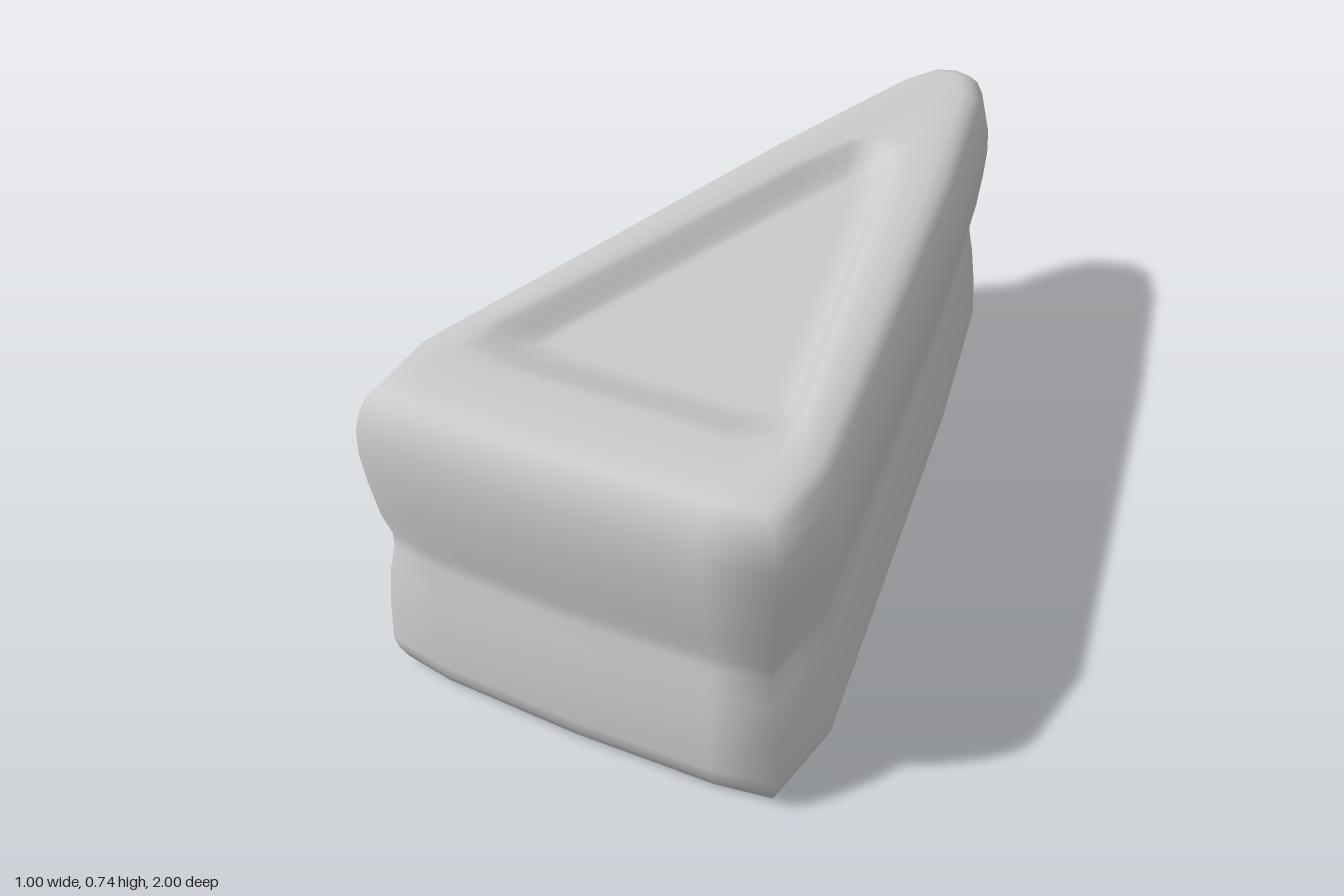
import * as THREE from 'three';

// Half outlines (x, z) from the middle of the front edge round to the tip
const OUTER = [[0, 1], [0.33, 0.99], [0.48, 0.965], [0.5, 0.74], [0.26, -0.38], [0.14, -0.85], [0.08, -0.97], [0, -1]];
const RIM = [[0, 0.77], [0.27, 0.77], [0.37, 0.74], [0.37, 0.64], [0.13, -0.28], [0.07, -0.46], [0.035, -0.5], [0, -0.51]];
const FLOOR = [[0, 0.6], [0.2, 0.6], [0.27, 0.58], [0.27, 0.53], [0.08, -0.18], [0.03, -0.34], [0.015, -0.36], [0, -0.37]];

// Body profile from the base up: [inset from the outline, height]
const PROFILE = [
  [0.07, 0], [0.05, 0.002], [0.03, 0.015], [0.016, 0.045], [0.01, 0.075], [0.014, 0.18],
  [0.023, 0.27], [0.034, 0.325], [0.034, 0.36], [0.02, 0.41], [0.007, 0.5], [0, 0.57],
  [0.001, 0.63], [0.01, 0.675], [0.025, 0.71], [0.045, 0.73], [0.075, 0.738],
];

const mirror = (half) => [...half, ...half.slice(1, -1).reverse().map(([x, z]) => [-x, z])];

// Move every edge of a closed outline inwards by d
function inset(outline, d) {
  const n = outline.length;
  const edgeNormal = (a, b) => new THREE.Vector2(a[1] - b[1], b[0] - a[0]).normalize();
  return outline.map((p, i) => {
    const n1 = edgeNormal(outline[(i + n - 1) % n], p);
    const n2 = edgeNormal(p, outline[(i + 1) % n]);
    const k = d / (1 + n1.dot(n2));
    return [p[0] - (n1.x + n2.x) * k, p[1] - (n1.y + n2.y) * k];
  });
}

const blend = (a, b, t) => a.map((p, i) => [p[0] + (b[i][0] - p[0]) * t, p[1] + (b[i][1] - p[1]) * t]);

// Skin a stack of rings and close both ends
function loft(rings) {
  const n = rings[0].points.length;
  const pos = [];
  const index = [];
  rings.forEach(({ points, y }) => points.forEach(([x, z]) => pos.push(x, y, z)));
  for (let i = 0; i < rings.length - 1; i++) {
    for (let j = 0; j < n; j++) {
      const a = i * n + j, b = i * n + (j + 1) % n;
      index.push(a, b, b + n, a, b + n, a + n);
    }
  }
  const bottom = rings.length * n, top = bottom + 1, last = bottom - n;
  pos.push(0, rings[0].y, 0.4, 0, rings[rings.length - 1].y, 0.3);
  for (let j = 0; j < n; j++) {
    const k = (j + 1) % n;
    index.push(bottom, k, j, top, last + j, last + k);
  }
  const geometry = new THREE.BufferGeometry();
  geometry.setAttribute('position', new THREE.Float32BufferAttribute(pos, 3));
  geometry.setIndex(index);
  geometry.computeVertexNormals();
  return geometry;
}

export function createModel() {
  const outer = mirror(OUTER), rim = mirror(RIM), floor = mirror(FLOOR);

  // Rounded wedge sides with a pinched waist
  const rings = PROFILE.map(([d, y]) => ({ points: inset(outer, d), y }));

  // Flat rim, then a shallow soft-edged recess in the top
  const shoulder = rings[rings.length - 1].points;
  rings.push({ points: blend(shoulder, rim, 0.5), y: 0.741 });
  rings.push({ points: rim, y: 0.738 });
  [[0.2, 0.73], [0.5, 0.708], [0.8, 0.688], [1, 0.682]].forEach(([t, y]) => rings.push({ points: blend(rim, floor, t), y }));
  rings.push({ points: blend(floor, floor.map(() => [0, 0.3]), 0.15), y: 0.681 });

  const wedge = new THREE.Mesh(loft(rings), new THREE.MeshStandardMaterial({ color: 0xcccccc }));
  wedge.name = 'wedgeBody';
  const model = new THREE.Group();
  model.name = 'wedge';
  model.add(wedge);
  return model;
}
